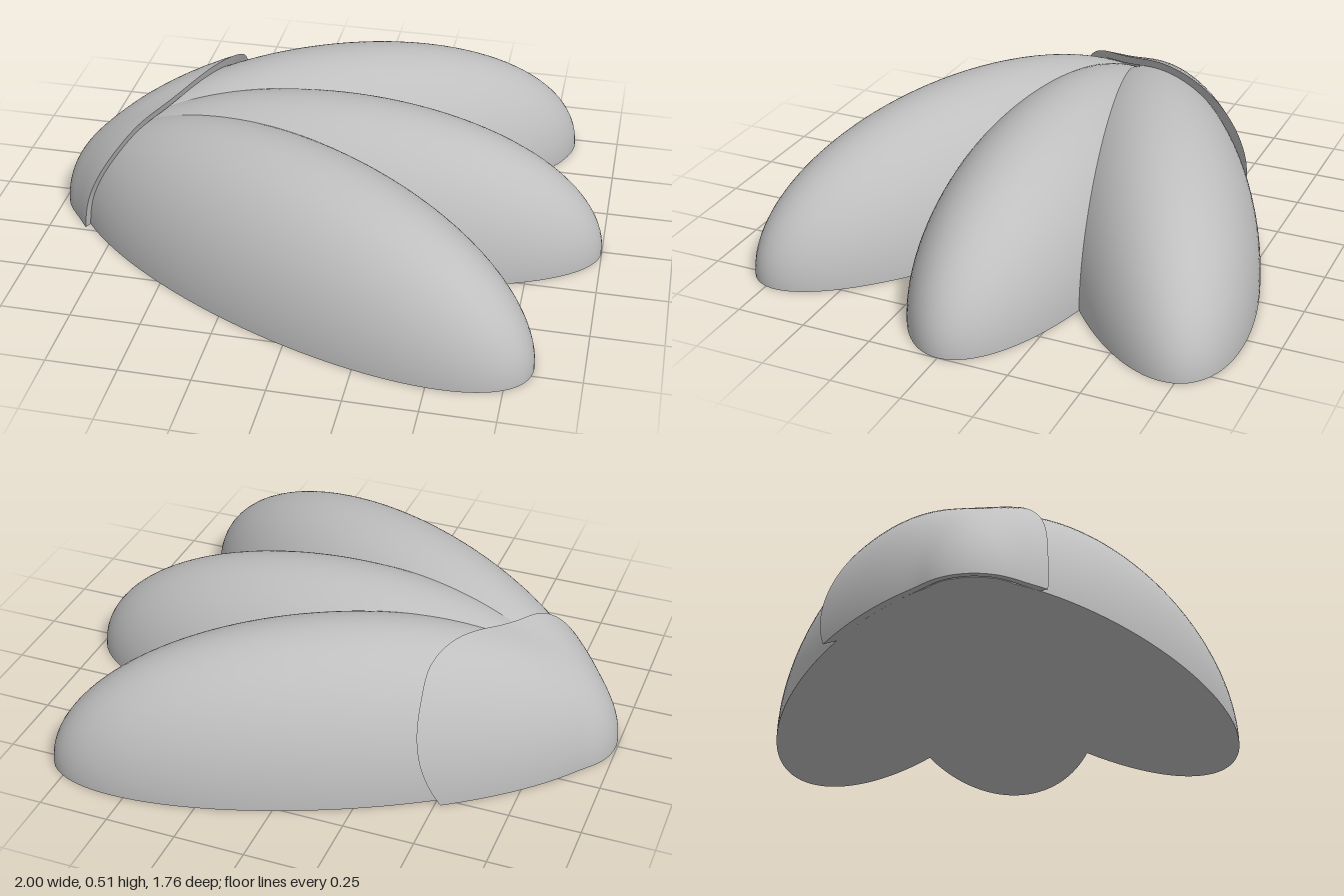
import * as THREE from 'three';

const LEN = 0.985, HEIGHT = 0.51, WIDTH = 0.36;   // lobe half-axes
const PIVOT = new THREE.Vector3(-0.775, 0, 0);
const REACH = 0.79;                               // pivot to lobe centre
const ANGLES = [-0.45, 0, 0.45];

const lobeCentre = (t) => new THREE.Vector3(
  PIVOT.x + REACH * Math.cos(t), 0, REACH * Math.sin(t));

// Vector in a lobe's own axes, scaled so that the lobe (grown by g) is a unit sphere
function toLobe(v, t, g) {
  const c = Math.cos(t), s = Math.sin(t);
  return new THREE.Vector3(
    (v.x * c + v.z * s) / (LEN + g * 0.65),
    v.y / (HEIGHT + g),
    (-v.x * s + v.z * c) / (WIDTH + g));
}

// Point where a ray from the pivot leaves the joined lobes, softly blended
function surfacePoint(dir, g) {
  const p = 24;
  let sum = 0;
  for (const t of ANGLES) {
    const o = toLobe(PIVOT.clone().sub(lobeCentre(t)), t, g);
    const d = toLobe(dir, t, g);
    const a = d.dot(d), b = o.dot(d), c = o.dot(o) - 1;
    sum += Math.pow((-b + Math.sqrt(b * b - a * c)) / a, p);
  }
  return PIVOT.clone().addScaledVector(dir, Math.pow(sum, 1 / p));
}

// Height of the joined lobes above a ground point
function heightAt(x, z, g) {
  let y = 0;
  for (const t of ANGLES) {
    const q = toLobe(new THREE.Vector3(x, 0, z).sub(lobeCentre(t)), t, g);
    y = Math.max(y, (HEIGHT + g) * Math.sqrt(Math.max(0, 1 - q.lengthSq())));
  }
  return y;
}

// Smooth surface through rows of points
function loft(rows) {
  const n = rows[0].length, pos = [], idx = [];
  rows.forEach((r) => r.forEach((p) => pos.push(p.x, p.y, p.z)));
  for (let i = 0; i < rows.length - 1; i++) {
    for (let j = 0; j < n - 1; j++) {
      const a = i * n + j, b = a + 1, c = a + n, d = c + 1;
      idx.push(a, b, c, b, d, c);
    }
  }
  const geo = new THREE.BufferGeometry();
  geo.setAttribute('position', new THREE.Float32BufferAttribute(pos, 3));
  geo.setIndex(idx);
  geo.computeVertexNormals();
  return geo;
}

export function createModel() {
  const model = new THREE.Group();
  model.name = 'threeLobedShell';
  const grey = new THREE.MeshStandardMaterial({ color: 0xbfbfbf, side: THREE.DoubleSide });
  grey.name = 'plain grey';

  const add = (name, geo, parent) => {
    const mesh = new THREE.Mesh(geo, grey);
    mesh.name = name;
    parent.add(mesh);
  };

  // Three half-ellipsoid lobes fanned around the pivot, closed underneath
  const dome = new THREE.SphereGeometry(1, 96, 32, 0, Math.PI * 2, 0, Math.PI / 2);
  dome.scale(LEN, HEIGHT, WIDTH);
  const floor = new THREE.CircleGeometry(1, 96).rotateX(Math.PI / 2);
  floor.scale(LEN, 1, WIDTH);
  ['backLobe', 'middleLobe', 'frontLobe'].forEach((name, i) => {
    const lobe = new THREE.Group();
    lobe.name = name;
    add(name + 'Dome', dome, lobe);
    add(name + 'Floor', floor, lobe);
    lobe.position.copy(lobeCentre(ANGLES[i]));
    lobe.rotation.y = -ANGLES[i];
    model.add(lobe);
  });

  // Thin cap wrapped over the joined ends: cut edge seen from above, as x, z
  const GAP = 0.03;
  const edge = [
    [-0.495, -0.585], [-0.455, -0.555], [-0.42, -0.47], [-0.42, -0.37], [-0.46, -0.25],
    [-0.53, -0.12], [-0.6, 0], [-0.65, 0.1], [-0.72, 0.19], [-0.84, 0.235], [-0.872, 0.25],
  ].map(([x, z], i, all) => new THREE.Vector3(
    x, i === 0 || i === all.length - 1 ? 0 : heightAt(x, z, GAP), z));
  const cut = new THREE.CatmullRomCurve3(edge, false, 'centripetal').getSpacedPoints(80)
    .map((p) => p.sub(PIVOT).normalize());

  // Ground directions sweep round the tip between the two ends of the cut
  const azimuth = (d) => Math.atan2(d.z, -d.x);
  const from = azimuth(cut[0]), to = azimuth(cut[80]);
  const ground = cut.map((_, i) => {
    const a = from + (to - from) * i / 80;
    return new THREE.Vector3(-Math.cos(a), 0, Math.sin(a));
  });

  const STEPS = 32, directions = [];
  for (let j = 0; j <= STEPS; j++) {
    directions.push(cut.map((d, i) => {
      const angle = d.angleTo(ground[i]), k = j / STEPS;
      if (angle < 1e-4) return d.clone();
      const dir = d.clone().multiplyScalar(Math.sin((1 - k) * angle))
        .addScaledVector(ground[i], Math.sin(k * angle)).normalize();
      dir.y = Math.max(0, dir.y);
      return dir;
    }));
  }
  const row = (dirs, g) => dirs.map((d) => surfacePoint(d, g));
  const cap = new THREE.Group();
  cap.name = 'endCap';
  // Rows run so that the outer side faces away from the lobes
  add('capSkin', loft(directions.map((d) => row(d, GAP)).reverse()), cap);
  add('capCutEdge', loft([row(directions[0], GAP), row(directions[0], 0)]), cap);
  add('capBottomEdge', loft([row(directions[STEPS], 0), row(directions[STEPS], GAP)]), cap);
  model.add(cap);

  return model;
}
